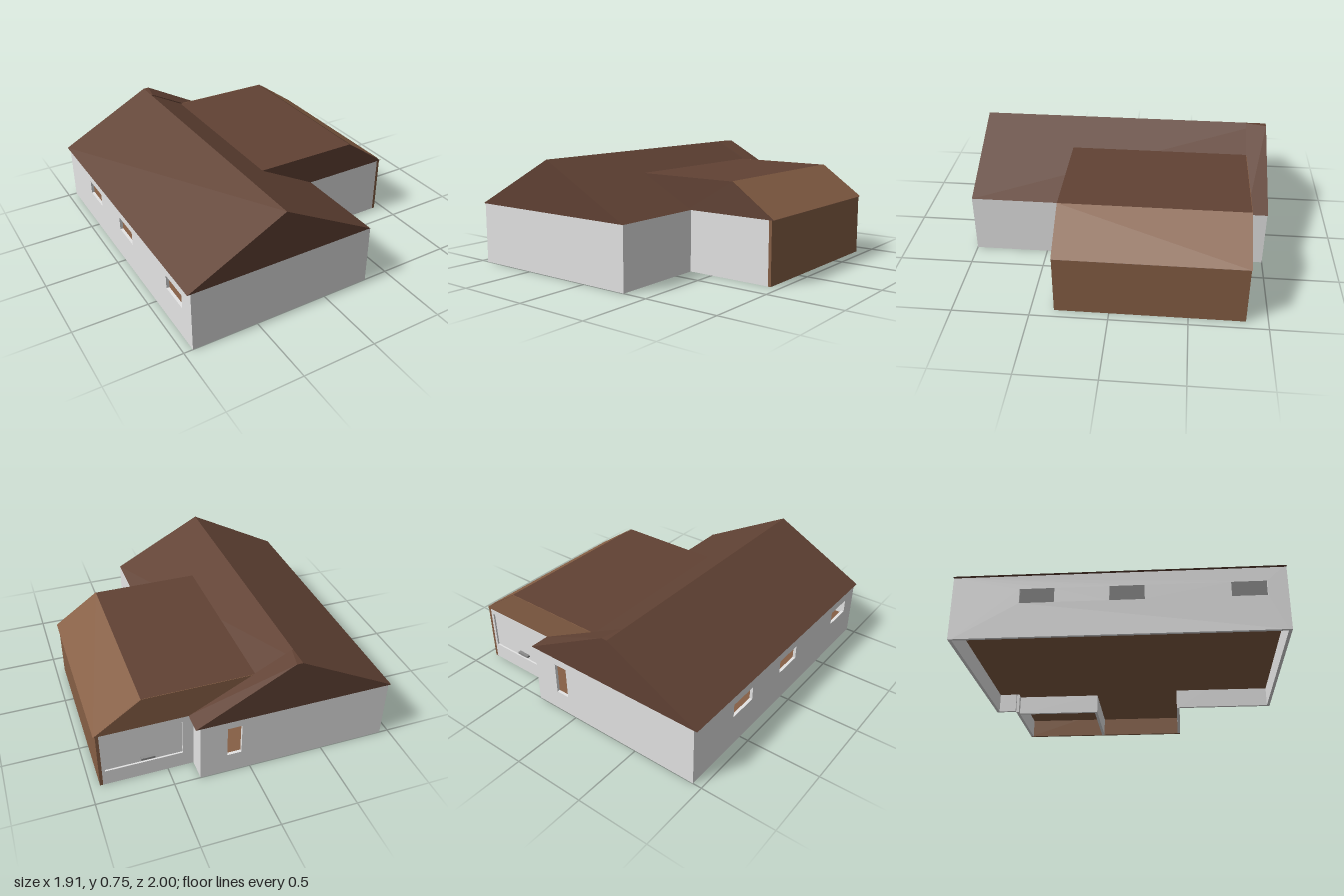
import * as THREE from 'three';

const mat = (name, color) => {
  const m = new THREE.MeshStandardMaterial({ color });
  m.name = name;
  return m;
};

export function createModel() {
  const house = new THREE.Group();
  house.name = 'house';
  const white = mat('white wall', 0xe4e4e4);
  const roofBrown = mat('roof brown', 0x614234);
  const brown = mat('cladding brown', 0x865f45);
  const grey = mat('handle grey', 0x8c8c8c);

  const H = 0.41, T = 0.02, FLOOR = 0.14;

  const add = (name, geo, m, x = 0, y = 0, z = 0) => {
    const mesh = new THREE.Mesh(geo, m);
    mesh.name = name;
    mesh.position.set(x, y, z);
    house.add(mesh);
    return mesh;
  };
  // box given by its two extreme corners
  const box = (name, m, x0, y0, z0, x1, y1, z1) =>
    add(name, new THREE.BoxGeometry(x1 - x0, y1 - y0, z1 - z0), m,
      (x0 + x1) / 2, (y0 + y1) / 2, (z0 + z1) / 2);
  const extrude = (points, depth, holes = []) => {
    const shape = new THREE.Shape(points.map(p => new THREE.Vector2(...p)));
    for (const [a, b, c, d] of holes) {
      shape.holes.push(new THREE.Path([[a, b], [a, d], [c, d], [c, b]].map(p => new THREE.Vector2(...p))));
    }
    return new THREE.ExtrudeGeometry(shape, { depth, bevelEnabled: false });
  };
  const rect = (a, b) => [[a, 0], [b, 0], [b, H], [a, H]];

  // Main walls
  box('frontWall', white, -0.94, 0, 1 - T, 0.33, H, 1);
  add('backWall', extrude(rect(-0.94, 0.33), T, [[0.06, FLOOR, 0.155, 0.36]]), white, 0, 0, -1);
  const windows = [-0.59, -0.05, 0.67].map(z => [z, 0.225, z + 0.21, 0.32]);
  // shape x runs along -z after the turn, so mirror the window spans
  const leftHoles = windows.map(([a, b, c, d]) => [-c, b, -a, d]);
  add('windowWall', extrude(rect(-1 + T, 1 - T), T, leftHoles), white, -0.94).rotation.y = Math.PI / 2;
  box('frontSideWall', white, 0.33 - T, 0, 0.35, 0.33, H, 1 - T);
  box('backSideWall', white, 0.33 - T, 0, -1 + T, 0.33, H, -0.86);

  // Wing walls
  box('wingFrontWall', white, 0.33, 0, 0.35 - T, 0.94 - T, H, 0.35);
  box('wingSideWall', brown, 0.94 - T, 0, -0.86, 0.94, H, 0.35);
  add('garageWall', extrude(rect(0.33, 0.94 - T), T, [[0.4, 0.11, 0.9, 0.37]]), white, 0, 0, -0.86);
  box('garageDoor', white, 0.4, 0.11, -0.848, 0.9, 0.37, -0.84);
  box('garageHandle', grey, 0.58, 0.135, -0.87, 0.67, 0.15, -0.848);

  // Floors, garage foundation and ceilings
  box('mainFloor', brown, -0.92, FLOOR - 0.01, -0.98, 0.31, FLOOR, 0.98);
  box('wingFloor', brown, 0.31, FLOOR - 0.01, -0.84, 0.92, FLOOR, 0.33);
  box('garageFoundationSide', white, 0.37, 0, -0.84, 0.39, FLOOR - 0.01, -0.28);
  box('garageFoundationFront', white, 0.37, 0, -0.28, 0.92, FLOOR - 0.01, -0.26);
  box('mainCeiling', white, -0.92, H - 0.012, -0.98, 0.31, H - 0.002, 0.98);

  // Main gable roof
  add('mainRoof', extrude([[-0.96, H], [0.33, H], [-0.31, 0.75]], 2), roofBrown, 0, 0, -1);

  // Raised strip of the right slope at the back, its ridge tapering forward
  const strip = extrude([[0.33, H], [0.36, H], [-0.27, 0.75], [-0.31, 0.75]], 0.14);
  const p = strip.attributes.position;
  for (let i = 0; i < p.count; i++) {
    if (p.getZ(i) > 0.1 && p.getY(i) > 0.7) p.setX(i, Math.min(p.getX(i), -0.3));
  }
  strip.computeVertexNormals();
  add('backRoofStrip', strip, roofBrown, 0, 0, -1);

  // Wing roof: flat top, lighter sloping side and lighter back gable
  const wing = [[0.3, H], [0.95, H], [0.65, 0.622], [-0.07, 0.622]];
  add('wingRoof', extrude(wing, 1.21), roofBrown, 0, 0, -0.86);
  add('wingBackGable', extrude([[0.33, H], ...wing.slice(1)], 0.003), brown, 0, 0, -0.863);
  const slope = new THREE.PlaneGeometry(Math.hypot(0.3, 0.212), 1.213);
  slope.rotateX(-Math.PI / 2);
  slope.rotateZ(-Math.atan2(0.212, 0.3));
  add('wingSlope', slope, brown, 0.802, 0.5185, -0.2565);

  return house;
}
